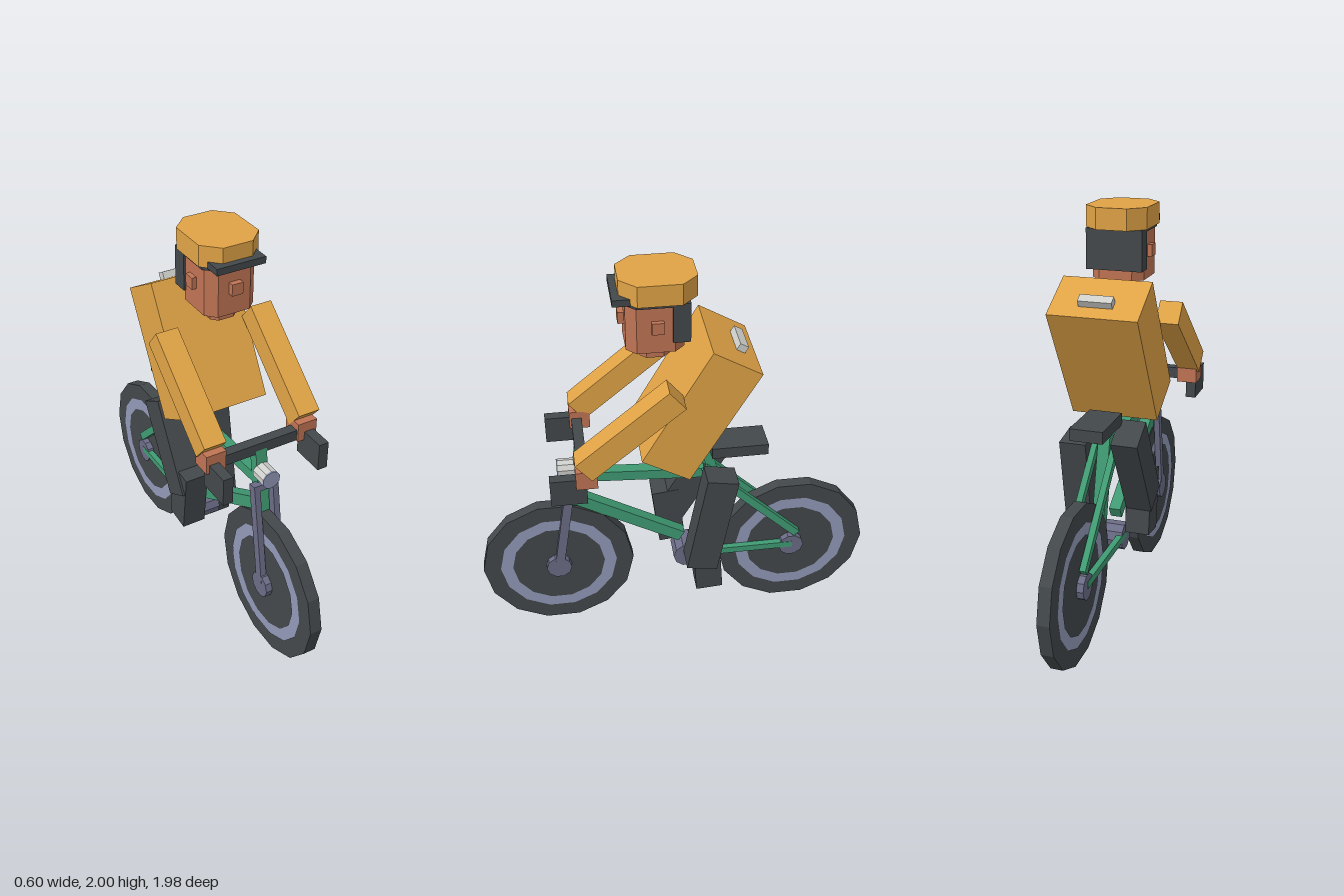
import * as THREE from 'three';

const mat = (name, color) => {
  const m = new THREE.MeshStandardMaterial({ color });
  m.name = name;
  return m;
};

export function createModel() {
  const root = new THREE.Group();
  root.name = 'cyclist';
  const orange = mat('orange cloth', 0xe0a346);
  const dark = mat('dark grey', 0x43484b);
  const green = mat('green frame', 0x409b73);
  const rim = mat('pale rim', 0x9299b8);
  const steel = mat('steel', 0x6b6c86);
  const skin = mat('skin', 0xc07454);
  const silver = mat('silver', 0xcfcfcc);

  const add = (name, geo, material, x, y, z, tilt = 0) => {
    const mesh = new THREE.Mesh(geo, material);
    mesh.name = name;
    mesh.position.set(x, y, z);
    mesh.rotation.x = THREE.MathUtils.degToRad(tilt);
    root.add(mesh);
    return mesh;
  };
  const box = (name, material, size, pos, tilt) =>
    add(name, new THREE.BoxGeometry(...size), material, ...pos, tilt);

  // Square tube between two [y, z] points at a given x
  const tube = (name, material, x, a, b, wide, deep) => {
    const dy = b[0] - a[0], dz = b[1] - a[1];
    box(name, material, [wide, Math.hypot(dy, dz), deep],
      [x, (a[0] + b[0]) / 2, (a[1] + b[1]) / 2],
      THREE.MathUtils.radToDeg(Math.atan2(dz, dy)));
  };

  // Faceted cylinder along x or z
  const disc = (name, material, r, length, sides, pos, axis = 'x') => {
    const geo = new THREE.CylinderGeometry(r, r, length, sides).toNonIndexed();
    geo.computeVertexNormals();
    if (axis === 'x') geo.rotateZ(-Math.PI / 2);
    else geo.rotateX(Math.PI / 2);
    return add(name, geo, material, ...pos);
  };

  // Upright prism with chamfered corners, standing on y
  const prism = (name, material, hx, hz, cut, height, y, z) => {
    const s = new THREE.Shape([
      [hx, cut - hz], [hx, hz - cut], [hx - cut, hz], [cut - hx, hz],
      [-hx, hz - cut], [-hx, cut - hz], [cut - hx, -hz], [hx - cut, -hz],
    ].map(p => new THREE.Vector2(...p)));
    const geo = new THREE.ExtrudeGeometry(s, { depth: height, bevelEnabled: false });
    geo.rotateX(-Math.PI / 2);
    add(name, geo, material, 0, y, z);
  };

  // Wheels
  for (const z of [0.605, -0.605]) {
    const end = z > 0 ? 'front' : 'rear';
    disc(end + 'Wheel', dark, 0.384, 0.06, 14, [0, 0.375, z]);
    disc(end + 'Hub', steel, 0.064, 0.126, 10, [0, 0.375, z]);
    for (const s of [1, -1]) {
      const ring = new THREE.RingGeometry(0.235, 0.297, 14);
      ring.rotateY(s * Math.PI / 2);
      add(end + 'Rim', ring, rim, s * 0.033, 0.375, z);
    }
  }

  // Frame
  tube('headTube', green, 0, [0.75, 0.505], [1.08, 0.46], 0.058, 0.05);
  tube('topTube', green, 0, [0.925, 0.5], [0.885, -0.14], 0.058, 0.053);
  tube('downTube', green, 0, [0.79, 0.5], [0.48, -0.03], 0.058, 0.062);
  tube('seatTube', green, 0, [1.03, -0.15], [0.54, -0.27], 0.058, 0.05);
  for (const s of [1, -1]) {
    tube('seatStay', green, s * 0.05, [0.93, -0.14], [0.455, -0.63], 0.03, 0.04);
    tube('chainStay', green, s * 0.05, [0.383, -0.05], [0.383, -0.61], 0.03, 0.036);
    tube('forkLeg', steel, s * 0.049, [0.37, 0.605], [0.92, 0.515], 0.03, 0.045);
  }
  box('forkCrown', steel, [0.126, 0.03, 0.045], [0, 0.905, 0.517], -9);
  disc('crank', steel, 0.07, 0.126, 10, [0, 0.375, -0.055]);
  box('saddle', dark, [0.16, 0.058, 0.275], [0, 1.036, -0.308]);

  // Handlebar, grips and lamp
  box('handlebar', dark, [0.5, 0.055, 0.05], [0, 1.092, 0.46]);
  for (const s of [1, -1]) box('grip', dark, [0.05, 0.14, 0.17], [s * 0.25, 1.035, 0.53]);
  disc('lamp', silver, 0.046, 0.08, 10, [0, 0.97, 0.53], 'z');
  disc('lampLens', rim, 0.046, 0.008, 10, [0, 0.97, 0.573], 'z');

  // Torso with a small light bar on the shoulders
  box('torso', orange, [0.428, 0.647, 0.26], [0, 1.345, -0.09], -30);
  box('shoulderBar', silver, [0.16, 0.036, 0.045], [0, 1.619, -0.295], -30);

  // Arms and hands
  for (const s of [1, -1]) {
    box('arm', orange, [0.11, 0.558, 0.117], [s * 0.245, 1.336, 0.243], -50.4);
    box('hand', skin, [0.1, 0.095, 0.1], [s * 0.24, 1.108, 0.445]);
  }

  // Left leg down, right leg raised
  box('leftThigh', dark, [0.13, 0.555, 0.155], [0.128, 0.668, -0.16], -10);
  box('leftShin', dark, [0.122, 0.31, 0.135], [0.122, 0.403, -0.143], 4);
  box('rightThigh', dark, [0.13, 0.49, 0.16], [-0.128, 0.775, -0.1], -30);
  box('rightShin', dark, [0.122, 0.32, 0.135], [-0.122, 0.55, 0.024], 6.5);

  // Head
  prism('neck', skin, 0.066, 0.067, 0.028, 0.08, 1.6, 0.098);
  prism('head', skin, 0.125, 0.13, 0.045, 0.24, 1.66, 0.1);
  box('nose', skin, [0.055, 0.056, 0.04], [0, 1.79, 0.238]);
  for (const s of [1, -1]) box('ear', skin, [0.03, 0.056, 0.055], [s * 0.132, 1.79, 0.093]);
  box('hair', dark, [0.27, 0.19, 0.078], [0, 1.805, -0.013]);

  // Cap
  prism('capBand', dark, 0.135, 0.14, 0.045, 0.02, 1.885, 0.09);
  prism('cap', orange, 0.147, 0.172, 0.074, 0.1, 1.9, 0.083);
  box('capBrim', dark, [0.24, 0.032, 0.08], [0, 1.913, 0.247]);

  return root;
}
